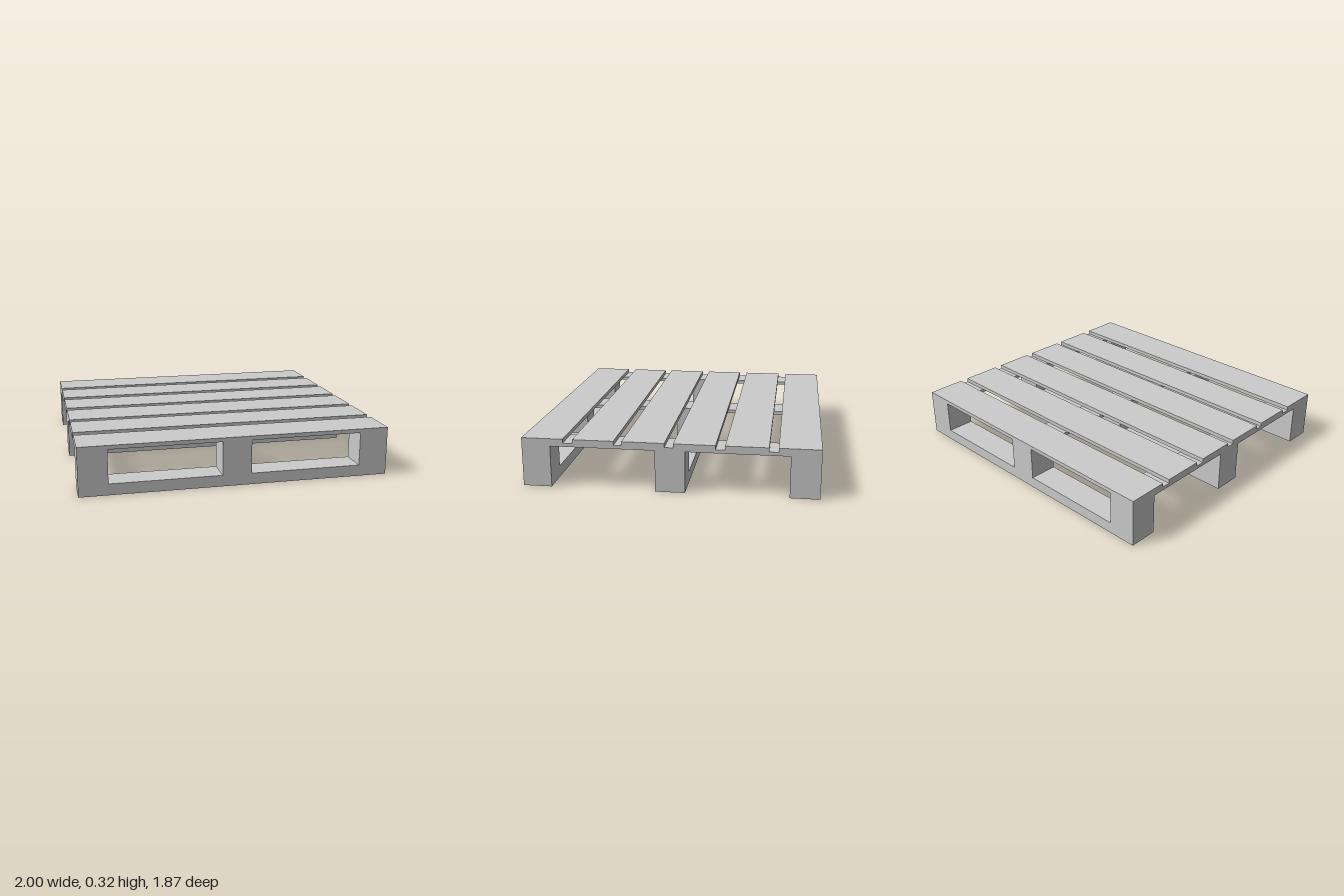
import * as THREE from 'three';

export function createModel() {
  const pallet = new THREE.Group();
  pallet.name = 'pallet';
  const material = new THREE.MeshStandardMaterial({ color: 0xcccccc, flatShading: true });

  // Box spanning the given [min, max] ranges
  function board(name, [x0, x1], [y0, y1], [z0, z1]) {
    const mesh = new THREE.Mesh(new THREE.BoxGeometry(x1 - x0, y1 - y0, z1 - z0), material);
    mesh.position.set((x0 + x1) / 2, (y0 + y1) / 2, (z0 + z1) / 2);
    mesh.name = name;
    pallet.add(mesh);
  }

  const full = [-1, 1];
  const columns = [[-1, -0.815], [-0.1, 0.088], [0.812, 1]];
  const rows = [[-0.933, -0.747], [-0.102, 0.086], [0.75, 0.933]];
  const slats = [
    [-0.933, -0.672], [-0.615, -0.348], [-0.29, -0.028],
    [0.026, 0.294], [0.344, 0.605], [0.667, 0.933],
  ];

  // Bottom runners with three spacer blocks each
  for (const z of rows) {
    board('bottomRunner', full, [0, 0.073], z);
    for (const x of columns) board('spacerBlock', x, [0.073, 0.268], z);
  }

  // Stringers running front to back over the blocks
  for (const x of columns) board('stringer', x, [0.268, 0.291], [-0.933, 0.933]);

  // Deck slats
  for (const z of slats) board('deckSlat', full, [0.291, 0.317], z);

  return pallet;
}
